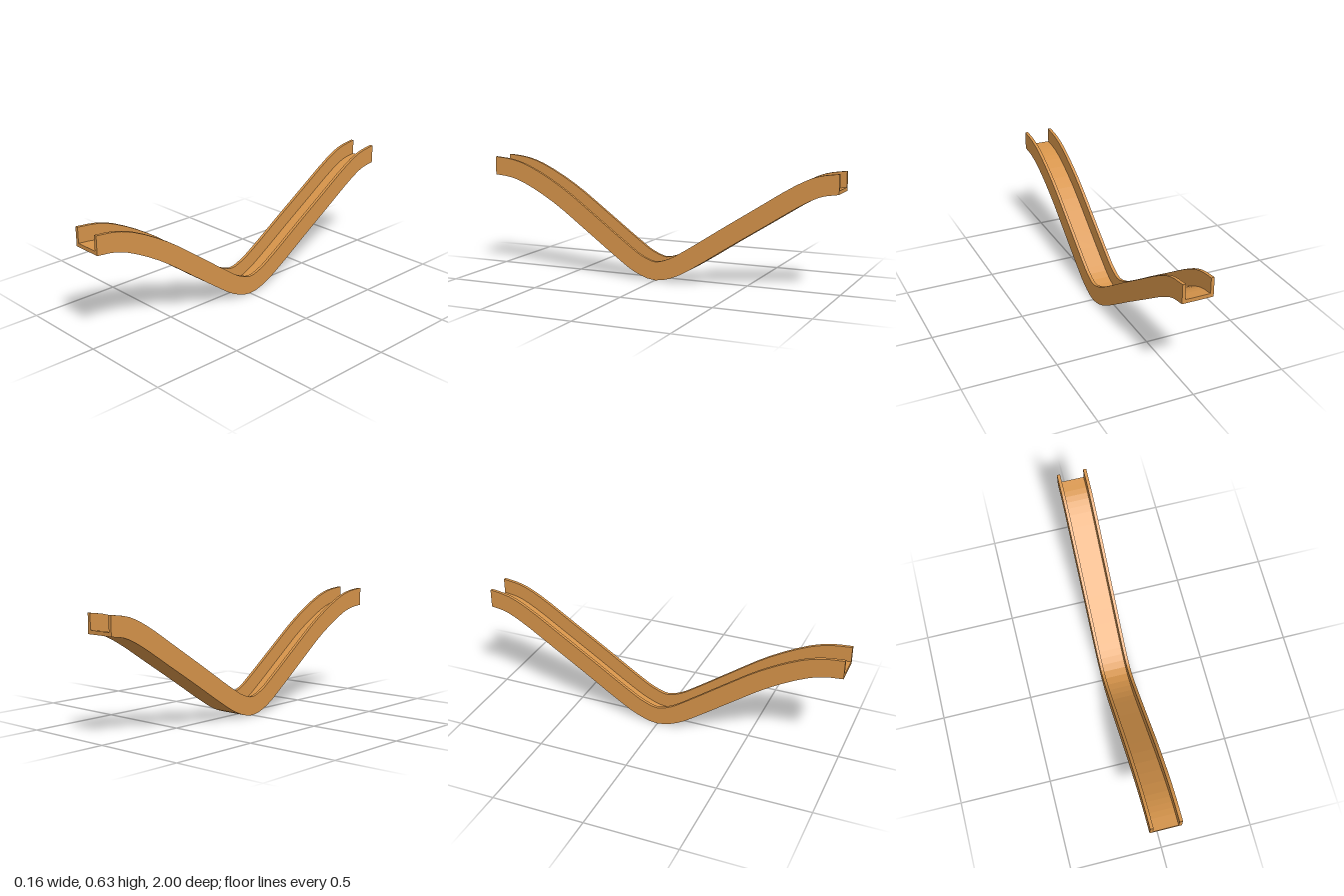
import * as THREE from 'three';

// Centre line of the track, as [z, y]
const PATH = [
  [1, 0.577], [0.9, 0.566], [0.8, 0.536], [0.6, 0.431], [0.4, 0.291], [0.2, 0.147], [0.1, 0.082],
  [0, 0.051],
  [-0.1, 0.077], [-0.2, 0.133], [-0.4, 0.262], [-0.6, 0.389], [-0.8, 0.514], [-0.9, 0.56], [-1, 0.577],
];

// U-shaped cross-section: floor with a wall on each side, counter-clockwise
const W = 0.082, WALL = 0.017, H = 0.051, FLOOR = 0.02;
const PROFILE = [
  [-W, -H], [W, -H], [W, H], [W - WALL, H],
  [W - WALL, FLOOR - H], [WALL - W, FLOOR - H], [WALL - W, H], [-W, H],
].map(([x, y]) => new THREE.Vector2(x, y));

function channelGeometry() {
  const curve = new THREE.CatmullRomCurve3(PATH.map(([z, y]) => new THREE.Vector3(0, y, z)));
  const n = 42;
  const rings = [];
  for (let i = 0; i <= n; i++) {
    const p = curve.getPoint(i / n);
    const t = curve.getTangent(i / n);
    // Ends and the lowest point are cut upright
    const upright = i === 0 || i === n || i === n / 2;
    const up = upright ? new THREE.Vector3(0, 1, 0) : new THREE.Vector3(0, -t.z, t.y).normalize();
    rings.push(PROFILE.map((q) => p.clone().addScaledVector(up, q.y).setX(q.x)));
  }

  const points = [];
  const tri = (a, b, c) => points.push(a, b, c);
  // Sides between neighbouring sections
  for (let i = 0; i < n; i++) {
    for (let j = 0; j < PROFILE.length; j++) {
      const k = (j + 1) % PROFILE.length;
      const a = rings[i][j], b = rings[i][k], c = rings[i + 1][k], d = rings[i + 1][j];
      tri(a, d, c);
      tri(a, c, b);
    }
  }
  // End caps
  for (const [a, b, c] of THREE.ShapeUtils.triangulateShape(PROFILE, [])) {
    tri(rings[0][a], rings[0][b], rings[0][c]);
    tri(rings[n][a], rings[n][c], rings[n][b]);
  }
  const geometry = new THREE.BufferGeometry().setFromPoints(points);
  geometry.computeVertexNormals();
  return geometry;
}

export function createModel() {
  const model = new THREE.Group();
  model.name = 'curvedTrack';
  const wood = new THREE.MeshStandardMaterial({ color: 0xd6944a });
  wood.name = 'warm wood';
  const channel = new THREE.Mesh(channelGeometry(), wood);
  channel.name = 'trackChannel';
  model.add(channel);
  return model;
}
